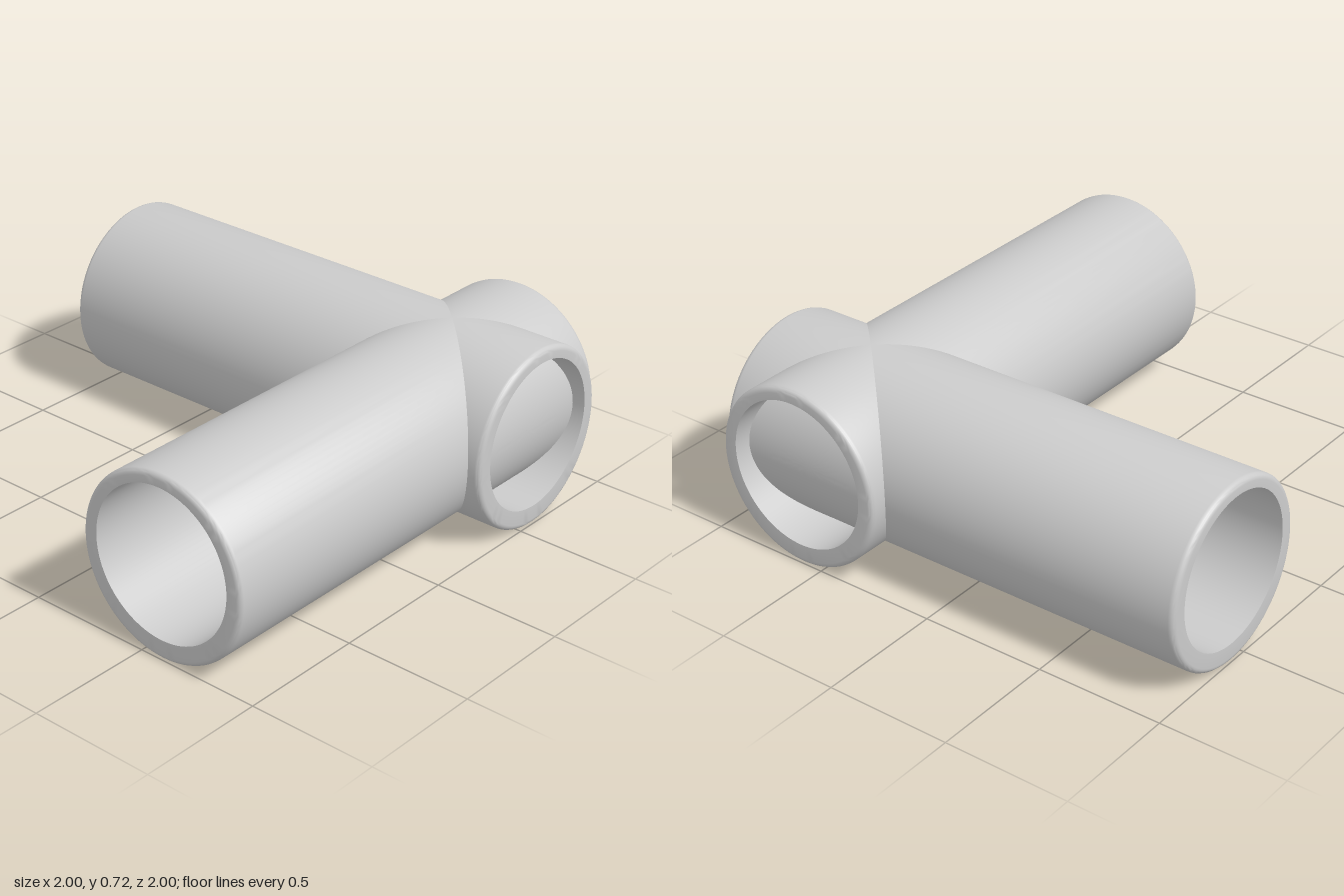
import * as THREE from 'three';
import { toCreasedNormals } from 'three/addons/utils/BufferGeometryUtils.js';

const R = 0.358;        // outer radius
const r = 0.294;        // bore radius
const LIFT = 0.015;     // bore axis sits slightly above the pipe axis
const FILLET = 0.022;   // rounded outer edge of each end
const SIDES = 96;

// Skin a list of rings; each ring gives its radius, height offset and
// axial position x(y, z).
function loft(rings) {
  const pos = [], index = [];
  for (const ring of rings) {
    for (let j = 0; j < SIDES; j++) {
      const a = (j / SIDES) * Math.PI * 2;
      const y = ring.radius * Math.cos(a) + (ring.lift || 0);
      const z = ring.radius * Math.sin(a);
      pos.push(ring.x(y, z), y, z);
    }
  }
  for (let i = 0; i < rings.length - 1; i++) {
    for (let j = 0; j < SIDES; j++) {
      const k = (j + 1) % SIDES;
      const a = i * SIDES + j, b = i * SIDES + k;
      const c = a + SIDES, d = b + SIDES;
      index.push(a, b, c, b, d, c);
    }
  }
  const geo = new THREE.BufferGeometry();
  geo.setAttribute('position', new THREE.Float32BufferAttribute(pos, 3));
  geo.setIndex(index);
  return toCreasedNormals(geo, 0.5);
}

// One arm along +x from the crossing point. mitre is +1 or -1 for the arms
// whose bores join in an elbow, 0 for a blind socket.
function armGeometry(length, mitre) {
  // outer wall, starting on the seam with the neighbouring arms
  const rings = [{ radius: R, x: (y, z) => Math.abs(z) }];
  // rounded end
  for (let k = 0; k <= 5; k++) {
    const a = (k * Math.PI) / 10;
    rings.push({
      radius: R - FILLET + FILLET * Math.cos(a),
      x: () => length - FILLET + FILLET * Math.sin(a),
    });
  }
  // flat rim to the bore edge
  rings.push({ radius: r, lift: LIFT, x: () => length });
  if (mitre) {
    // bore down to the elbow mitre
    rings.push({ radius: r, lift: LIFT, x: (y, z) => mitre * z });
  } else {
    // shallow bore closed by the curved wall of the crossing pipe
    for (let k = 12; k >= 0; k--) {
      rings.push({
        radius: Math.max((r * k) / 12, 0.0005),
        lift: LIFT,
        x: (y) => Math.sqrt(R * R - y * y),
      });
    }
  }
  return loft(rings);
}

export function createModel() {
  const group = new THREE.Group();
  group.name = 'pipeFitting';
  const material = new THREE.MeshStandardMaterial({ color: 0xcccccc });
  const cx = 0.591, cz = -0.573;

  const arms = [
    ['longSideArm', 1 + cx, -1, Math.PI],
    ['longFrontArm', 1 - cz, 1, -Math.PI / 2],
    ['shortSideSocket', 1 - cx, 0, 0],
    ['shortBackSocket', 1 + cz, 0, Math.PI / 2],
  ];
  for (const [name, length, mitre, turn] of arms) {
    const mesh = new THREE.Mesh(armGeometry(length, mitre), material);
    mesh.name = name;
    mesh.rotation.y = turn;
    mesh.position.set(cx, R, cz);
    group.add(mesh);
  }
  return group;
}
